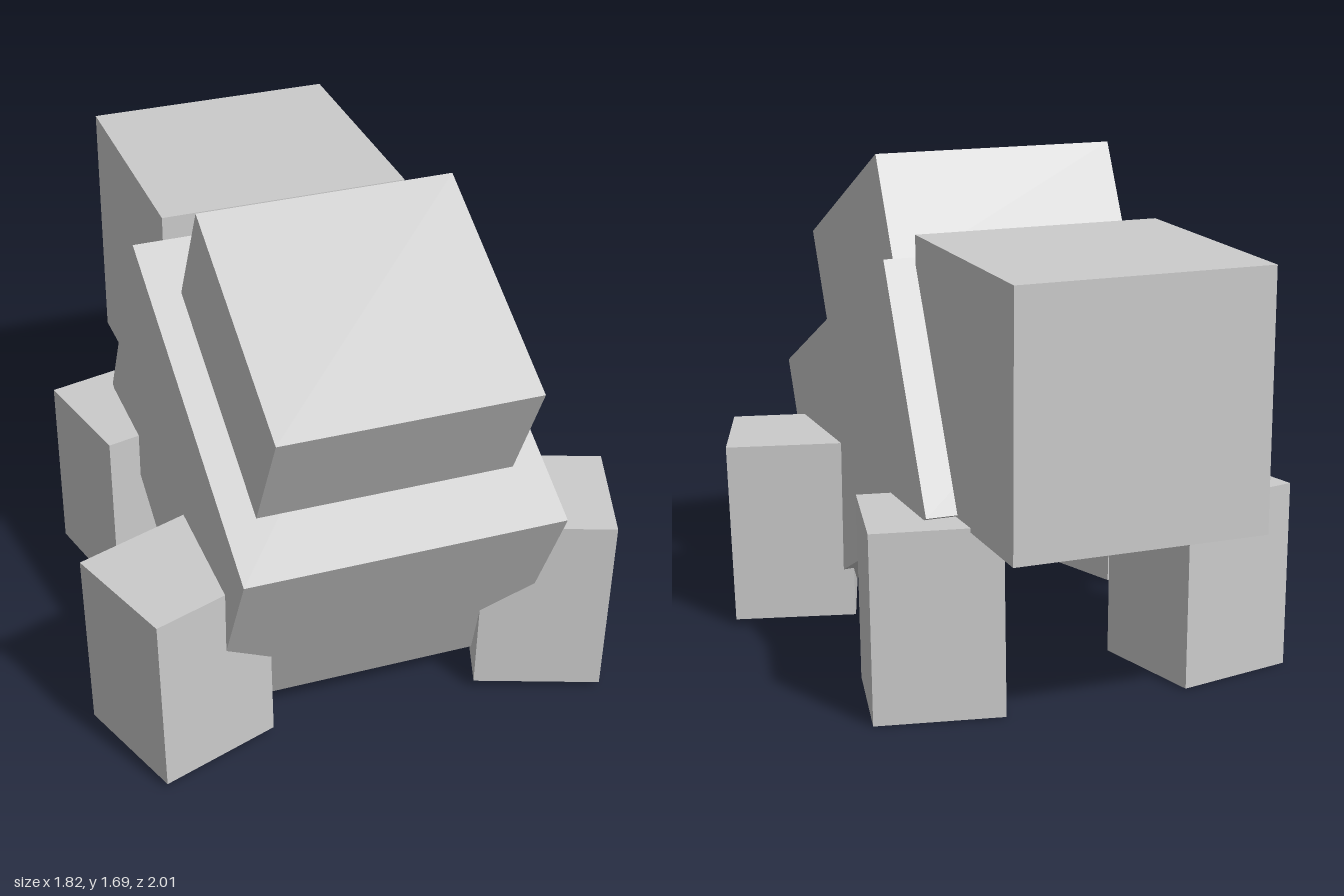
import * as THREE from 'three';

const material = new THREE.MeshStandardMaterial({ color: 0xcccccc, flatShading: true });

// One box part: size, centre and rotation
function addBox(group, name, size, position, rotation) {
  const mesh = new THREE.Mesh(new THREE.BoxGeometry(...size), material);
  mesh.name = name;
  mesh.position.set(...position);
  mesh.rotation.set(...rotation);
  group.add(mesh);
}

export function createModel() {
  const group = new THREE.Group();
  group.name = 'blockyAnimal';
  const slope = 0.468;

  // Sloping body with a hump lying on its upper face
  addBox(group, 'body', [1.06, 0.848, 1.282], [0, 0.741, 0.24], [slope, 0, 0]);
  addBox(group, 'hump', [0.85, 0.425, 0.848], [0, 1.312, 0.525], [slope, 0, 0]);

  // Cube head at the high end
  addBox(group, 'head', [0.85, 0.85, 0.85], [0, 1.055, -0.573], [-0.009, 0, 0]);

  // Splayed legs, mirrored left and right
  for (const [side, label] of [[1, 'left'], [-1, 'right']]) {
    addBox(group, label + 'FrontLeg', [0.425, 0.635, 0.425],
      [side * 0.633, 0.348, 0.62], [0, side * -0.325, side * -0.025]);
    addBox(group, label + 'RearLeg', [0.425, 0.635, 0.425],
      [side * 0.479, 0.325, -0.41], [0, side * -0.225, side * -0.01]);
  }
  return group;
}
